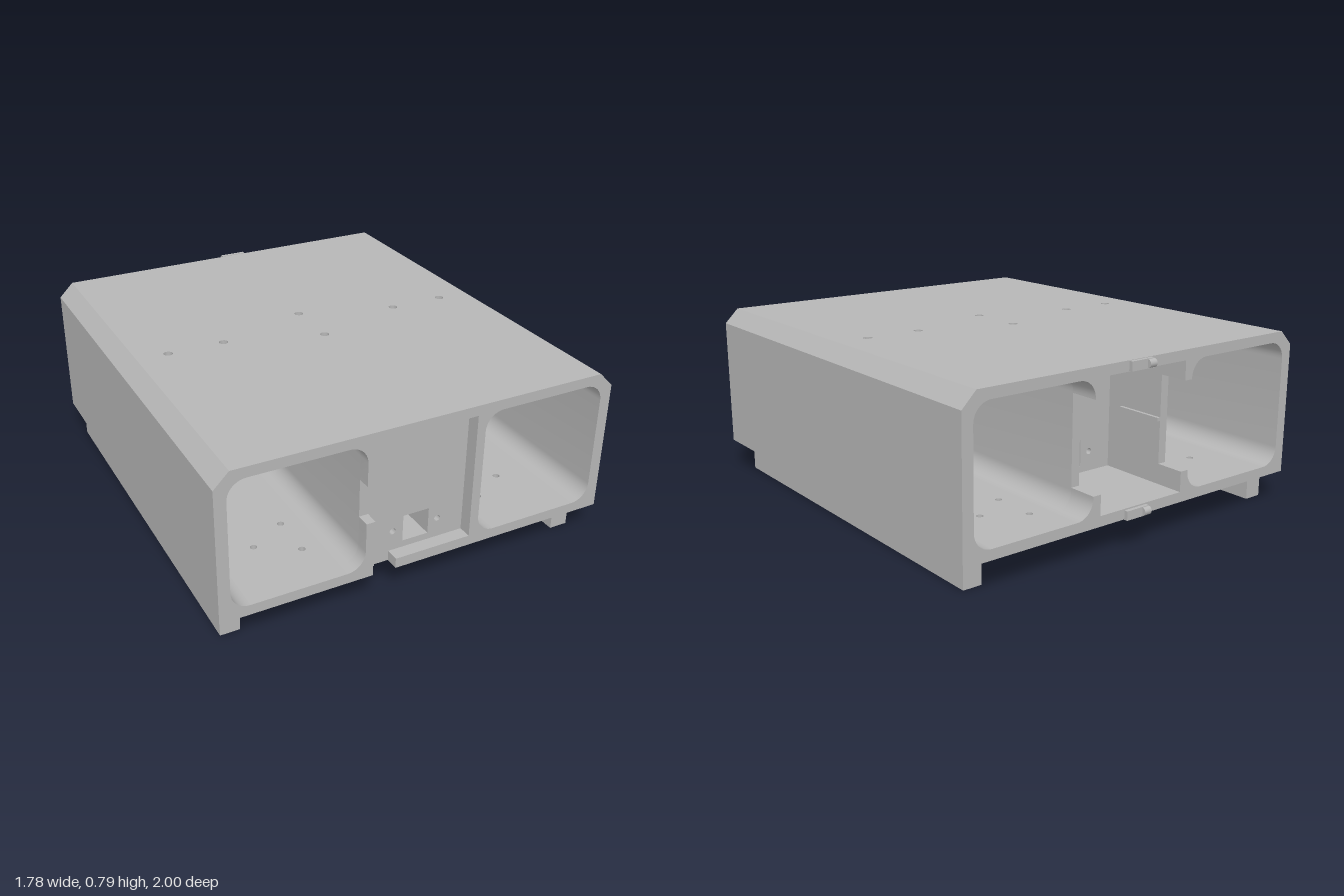
import * as THREE from 'three';
import { toCreasedNormals } from 'three/addons/utils/BufferGeometryUtils.js';

const metal = new THREE.MeshStandardMaterial({ color: 0xb6b6b6 });
metal.name = 'plain grey';

const FRONT = 1, BACK = -0.96;           // housing ends
const FLOOR = 0.18, CEIL = 0.745, R = 0.08; // tunnel heights and corner radius

export function createModel() {
  const group = new THREE.Group();

  const add = (name, geometry) => {
    const mesh = new THREE.Mesh(geometry, metal);
    mesh.name = name;
    group.add(mesh);
    return mesh;
  };
  const box = (name, x0, x1, y0, y1, z0, z1) =>
    add(name, new THREE.BoxGeometry(x1 - x0, y1 - y0, z1 - z0))
      .position.set((x0 + x1) / 2, (y0 + y1) / 2, (z0 + z1) / 2);
  const shapeOf = (pts) => new THREE.Shape(pts.map(([x, y]) => new THREE.Vector2(x, y)));
  const arc = (cx, cy, a0, a1, n = 10) => Array.from({ length: n + 1 }, (_, i) => {
    const a = (a0 + (a1 - a0) * i / n) * Math.PI / 180;
    return [cx + R * Math.cos(a), cy + R * Math.sin(a)];
  });
  const circle = (shape, x, y, r) => {
    const p = new THREE.Path();
    p.absarc(x, y, r, 0, Math.PI * 2, true);
    shape.holes.push(p);
  };
  const extrude = (shape, depth) => toCreasedNormals(
    new THREE.ExtrudeGeometry(shape, { depth, bevelEnabled: false, curveSegments: 10 }), 0.5);
  // profile in x,y swept from z0 to z1
  const sweep = (name, shape, z0, z1) => add(name, extrude(shape, z1 - z0)).position.z = z0;
  // slab outlined in x,z between two heights
  const slab = (name, shape, y0, y1) =>
    add(name, extrude(shape, y1 - y0).rotateX(Math.PI / 2)).position.y = y1;

  // roof with six drilled holes
  const roof = shapeOf([[-0.825, BACK], [0.825, BACK], [0.825, FRONT], [-0.825, FRONT]]);
  [[-0.685, 0.015], [-0.43, 0.015], [0, -0.115], [0, 0.14], [0.425, 0.015], [0.68, 0.015]]
    .forEach(([x, z]) => circle(roof, x, z, 0.02));
  slab('roof', roof, CEIL, 0.79);

  // floor with a front notch and four triangles of holes
  const floor = shapeOf([[-0.89, BACK], [0.89, BACK], [0.89, FRONT], [-0.125, FRONT],
    [-0.125, 0.94], [-0.23, 0.94], [-0.23, FRONT], [-0.89, FRONT]]);
  for (const sx of [-1, 1]) for (const sz of [-1, 1])
    [[0.6, 0.67], [0.43, 0.57], [0.43, 0.77]]
      .forEach(([x, z]) => circle(floor, sx * x, sz * z, 0.015));
  slab('floor', floor, 0.135, FLOOR);

  // divider profile between two heights, rounded where it meets floor or roof
  const divider = (s, lo, hi) => {
    const pts = [[0.225, lo], [0.225, hi]];
    if (hi === CEIL) pts.push(...arc(0.345, CEIL - R, 90, 180));
    else pts.push([0.265, hi]);
    if (lo === FLOOR) pts.push(...arc(0.345, FLOOR + R, 180, 270));
    else pts.push([0.265, lo]);
    return shapeOf(pts.map(([x, y]) => [s * x, y]));
  };

  for (const s of [-1, 1]) {
    const side = s > 0 ? 'left' : 'right';

    // outer wall with chamfered top corner and rounded tunnel corners
    const wall = [[0.89, FLOOR], [0.89, 0.725], [0.825, 0.79], [0.825, CEIL],
      ...arc(0.76, CEIL - R, 90, 0), ...arc(0.76, FLOOR + R, 0, -90)];
    sweep(side + 'OuterWall', shapeOf(wall.map(([x, y]) => [s * x, y])), BACK, FRONT);

    // divider: cut away at the back, with a front slot on one side
    sweep(side + 'Divider', divider(s, FLOOR, CEIL), -0.83, 0.94);
    sweep(side + 'DividerBackLower', divider(s, FLOOR, 0.27), BACK, -0.83);
    sweep(side + 'DividerBackUpper', divider(s, 0.66, CEIL), BACK, -0.83);
    if (s > 0) sweep(side + 'DividerFront', divider(s, FLOOR, CEIL), 0.94, FRONT);
    else {
      sweep(side + 'DividerFrontLower', divider(s, FLOOR, 0.39), 0.94, FRONT);
      sweep(side + 'DividerFrontUpper', divider(s, 0.56, CEIL), 0.94, FRONT);
    }
  }

  // centre block with a square port and two screw holes
  const block = shapeOf([[-0.225, FLOOR], [0.225, FLOOR], [0.225, CEIL], [-0.225, CEIL]]);
  block.holes.push(new THREE.Path([[-0.06, 0.21], [-0.06, 0.33], [0.06, 0.33], [0.06, 0.21]]
    .map(([x, y]) => new THREE.Vector2(x, y))));
  for (const x of [-0.108, 0.103]) circle(block, x, 0.27, 0.014);
  sweep('centreBlock', block, -0.52, 0.94);

  // small rail inside the rear compartment
  box('innerRail', -0.225, -0.21, 0.46, 0.475, -0.83, -0.6);

  // runners
  box('rightRunner', -0.855, -0.77, 0, 0.135, -0.87, 0.91);
  box('leftRunner', 0.74, 0.825, 0, 0.135, -0.87, 0.91);

  // rear latches: a bar and a short knuckle at roof and floor edges
  for (const [name, y] of [['upperLatch', 0.77], ['lowerLatch', 0.157]]) {
    box(name + 'Base', -0.02, 0.015, y - 0.015, y + 0.015, -0.99, BACK);
    box(name + 'Bar', -0.02, 0.1, y - 0.02, y + 0.02, -0.983, -0.966);
    const knuckle = add(name + 'Knuckle',
      new THREE.CylinderGeometry(0.018, 0.018, 0.036, 16).rotateZ(Math.PI / 2));
    knuckle.position.set(-0.002, y, -0.982);
  }

  return group;
}
